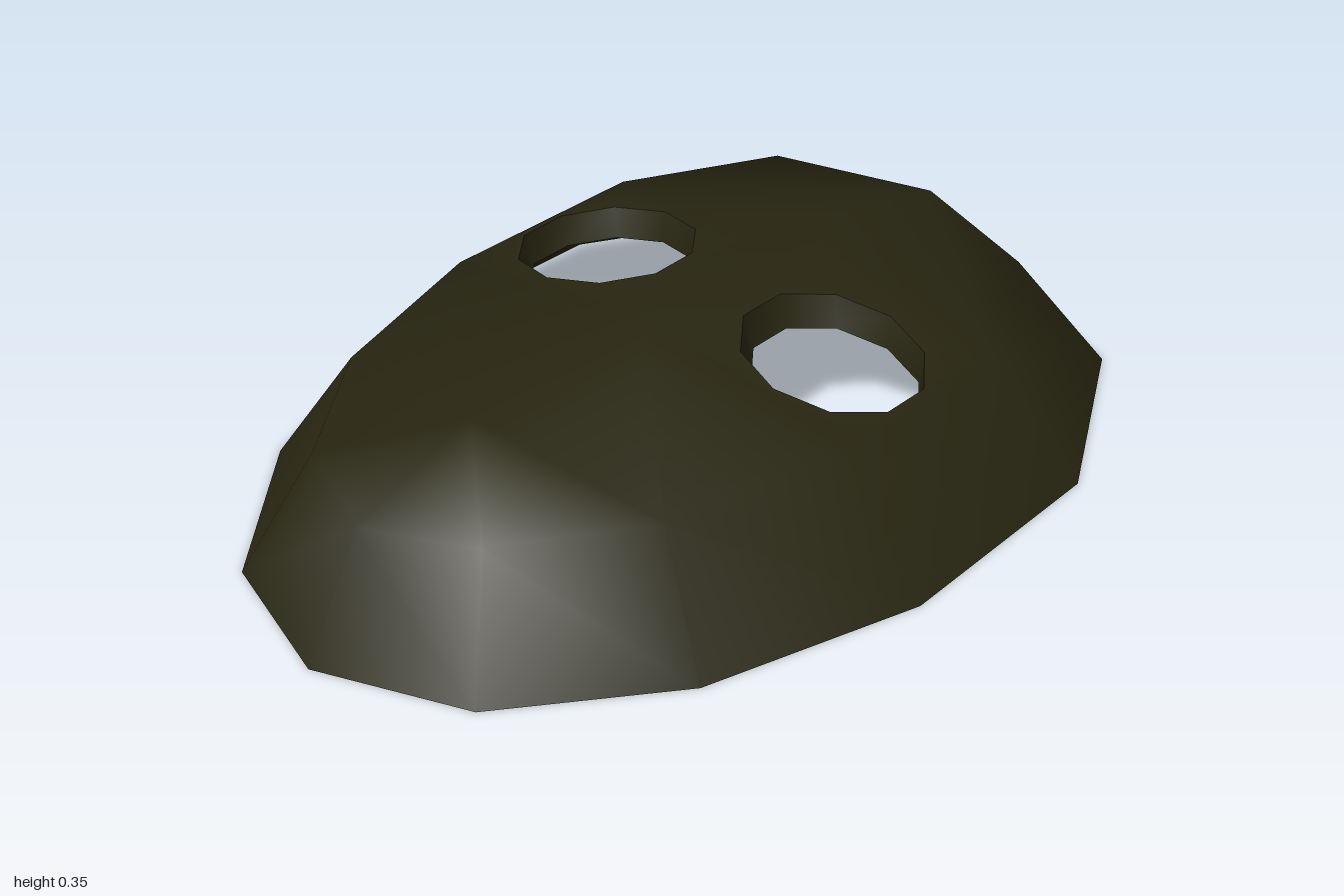
import * as THREE from 'three';

const V = (x, y, z) => new THREE.Vector3(x, y, z);

// Indexed, smooth surface from triangles of shared points, all wound to face up
function surface(points, triangles) {
  const index = [];
  const n = new THREE.Vector3(), e = new THREE.Vector3();
  for (const [a, b, c] of triangles) {
    n.subVectors(points[b], points[a]).cross(e.subVectors(points[c], points[a]));
    index.push(a, ...(n.y < 0 ? [c, b] : [b, c]));
  }
  const geometry = new THREE.BufferGeometry().setFromPoints(points);
  geometry.setIndex(index);
  geometry.computeVertexNormals();
  return geometry;
}

// Ten-sided eye outline
function eyeLoop(cx, rx, rz) {
  return Array.from({ length: 10 }, (_, k) => {
    const a = Math.PI / 2 + (k * Math.PI) / 5;
    return new THREE.Vector2(cx + rx * Math.cos(a), -0.135 - rz * Math.sin(a));
  });
}

const crownHeight = (x) => 0.346 - 0.165 * Math.abs(x);

export function createModel() {
  const group = new THREE.Group();
  const olive = new THREE.MeshStandardMaterial({ color: 0x282611, side: THREE.DoubleSide });
  olive.name = 'dark olive';

  // Half profiles from brow to chin: open rim, shoulder ring and centre ridge
  const rim = [[0, -1], [0.45, -0.855], [0.69, -0.45], [0.715, 0.08], [0.575, 0.55], [0.32, 0.88], [0, 1]];
  const shoulder = [[0, -0.82], [0.33, -0.7], [0.5, -0.39], [0.52, 0.08], [0.42, 0.48], [0.23, 0.76], [0, 0.86]];
  const ridge = [[0.341, -0.44], [0.348, 0.08], [0.341, 0.56]];

  const points = [], triangles = [], lookup = new Map();
  const id = (p) => {
    const key = p.toArray().map((v) => Math.round(v * 1e4)).join();
    if (!lookup.has(key)) {
      lookup.set(key, points.length);
      points.push(p);
    }
    return lookup.get(key);
  };

  for (const side of [1, -1]) {
    const outer = rim.map(([x, z]) => id(V(side * x, 0, z)));
    const ring = shoulder.map(([x, z]) => id(V(side * x, x ? 0.26 : 0.25, z)));
    const top = ridge.map(([y, z]) => id(V(0, y, z)));
    const quad = (a, b, c, d) => triangles.push([a, b, c], [a, c, d]);

    // Sloping side wall
    for (let i = 0; i < 6; i++) quad(outer[i], outer[i + 1], ring[i + 1], ring[i]);

    // Brow, cheek and chin
    quad(ring[0], ring[1], ring[2], top[0]);
    quad(top[1], ring[3], ring[4], top[2]);
    quad(top[2], ring[4], ring[5], ring[6]);

    // Flat panel with the eye hole
    const eye = eyeLoop(side * 0.305, 0.196, 0.178);
    const corners = [top[0], ring[2], ring[3], top[1]];
    const contour = corners.map((i) => new THREE.Vector2(points[i].x, points[i].z));
    const edge = eye.map((p) => id(V(p.x, crownHeight(p.x), p.y)));
    const ids = [...corners, ...edge];
    for (const t of THREE.ShapeUtils.triangulateShape(contour, [eye])) triangles.push(t.map((i) => ids[i]));

    // Tapered wall around the inside of the eye hole
    const inner = eyeLoop(side * 0.305 + 0.008, 0.18, 0.162);
    const wallPoints = [
      ...eye.map((p) => V(p.x, crownHeight(p.x), p.y)),
      ...inner.map((p) => V(p.x, crownHeight(p.x) - 0.065, p.y)),
    ];
    const wallTriangles = [];
    for (let k = 0; k < 10; k++) {
      const n = (k + 1) % 10;
      wallTriangles.push([k, n, n + 10], [k, n + 10, k + 10]);
    }
    const wall = new THREE.Mesh(surface(wallPoints, wallTriangles), olive);
    wall.name = side > 0 ? 'leftEyeRim' : 'rightEyeRim';
    group.add(wall);
  }

  const shell = new THREE.Mesh(surface(points, triangles), olive);
  shell.name = 'maskShell';
  group.add(shell);
  return group;
}
